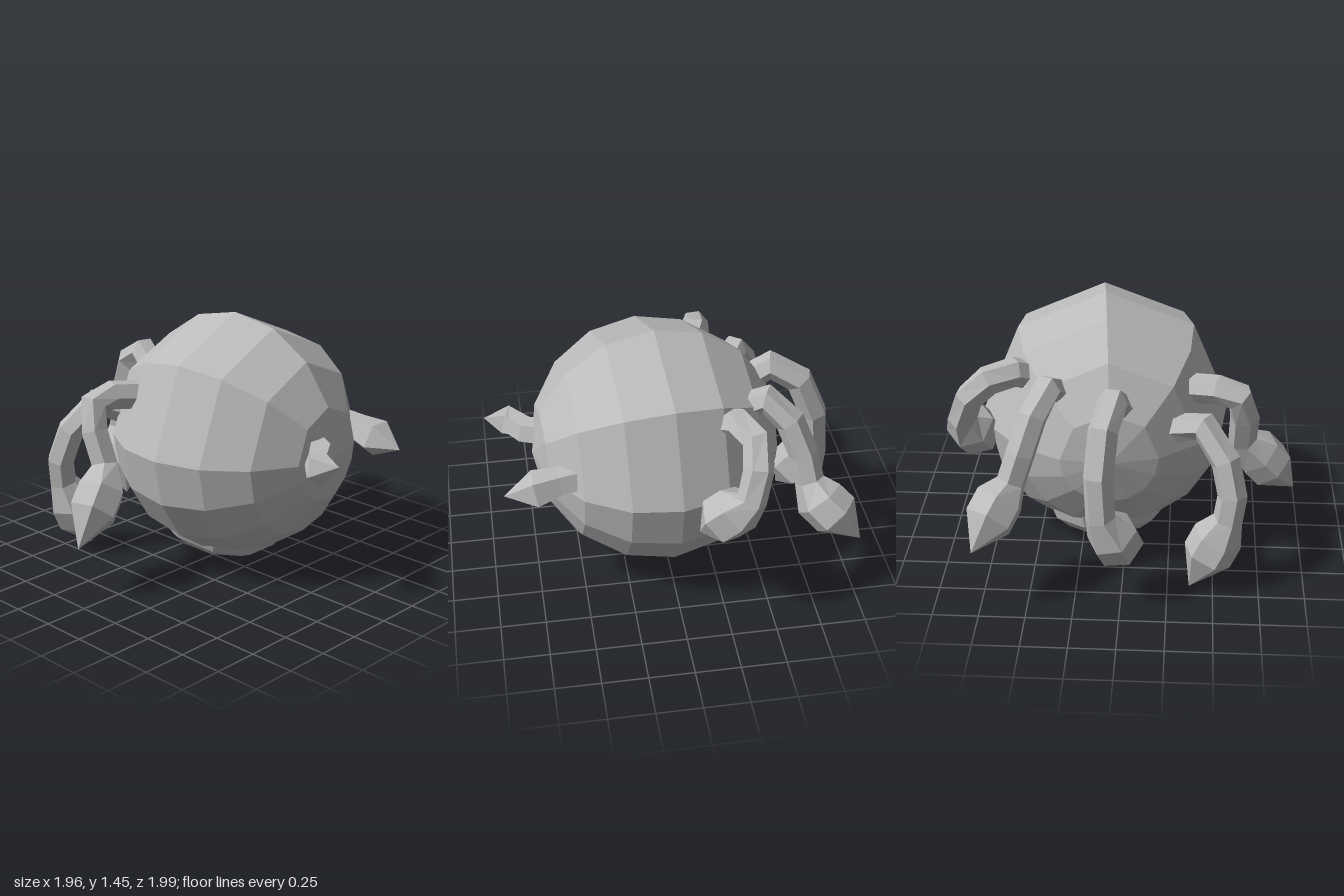
import * as THREE from 'three';

const V = (x, y, z) => new THREE.Vector3(x, y, z);

// Faceted skin through rings of equal point count (counterclockwise about travel)
function loft(rings) {
  const pos = [];
  const tri = (a, b, c) => {
    const area = b.clone().sub(a).cross(c.clone().sub(a)).length();
    if (area > 1e-7) pos.push(...a.toArray(), ...b.toArray(), ...c.toArray());
  };
  for (let r = 0; r < rings.length - 1; r++) {
    const a = rings[r], b = rings[r + 1], n = a.length;
    for (let i = 0; i < n; i++) {
      const j = (i + 1) % n;
      tri(a[i], a[j], b[j]);
      tri(a[i], b[j], b[i]);
    }
  }
  const g = new THREE.BufferGeometry();
  g.setAttribute('position', new THREE.Float32BufferAttribute(pos, 3));
  g.computeVertexNormals();
  return g;
}

// Limb through points [x, y, z, radius], with a carried frame so it does not twist
function limbGeometry(path, sides) {
  const pts = path.map(p => V(p[0], p[1], p[2]));
  let u = null;
  const rings = pts.map((p, k) => {
    const before = pts[Math.max(k - 1, 0)], after = pts[Math.min(k + 1, pts.length - 1)];
    const t = after.clone().sub(before).normalize();
    if (!u) u = Math.abs(t.y) < 0.8 ? V(0, 1, 0) : V(1, 0, 0);
    u = u.clone().addScaledVector(t, -u.dot(t)).normalize();
    const v = t.clone().cross(u);
    return Array.from({ length: sides }, (_, i) => {
      const a = (i + 0.5) / sides * Math.PI * 2;
      return p.clone().addScaledVector(u, Math.cos(a) * path[k][3])
        .addScaledVector(v, Math.sin(a) * path[k][3]);
    });
  });
  const first = pts[0];
  rings.unshift(rings[0].map(() => first.clone()));
  return loft(rings);
}

export function createModel() {
  const model = new THREE.Group();
  model.name = 'creature';
  const skin = new THREE.MeshStandardMaterial({ color: 0xbbbbbb, flatShading: true });
  skin.name = 'grey skin';
  const add = (name, geometry) => {
    const mesh = new THREE.Mesh(geometry, skin);
    mesh.name = name;
    model.add(mesh);
    return mesh;
  };

  // Body: poles front and back, coarse upper half and finer lower half
  const angles = [0, 45, 90, 135];
  for (let a = 180; a < 360; a += 22.5) angles.push(a);
  const R = 0.695;
  const bodyRings = [];
  for (let k = 0; k <= 8; k++) {
    const phi = Math.PI * (1 - k / 8), r = k % 8 ? R * Math.sin(phi) : 0;
    bodyRings.push(angles.map(d => {
      const a = d * Math.PI / 180;
      return V(r * Math.cos(a), r * Math.sin(a), R * Math.cos(phi));
    }));
  }
  const body = add('body', loft(bodyRings));
  body.position.set(0.125, 0.752, 0.05);
  body.rotation.y = 0.085;

  // Shallow bulge under the body
  const belly = add('bellyBulge', new THREE.SphereGeometry(1, 10, 8).toNonIndexed());
  belly.geometry.computeVertexNormals();
  belly.scale.set(0.36, 0.2, 0.42);
  belly.position.set(0.12, 0.225, -0.07);
  belly.rotation.x = 0.2;

  // Tentacles: arm points, then club centre and club tip
  const tentacles = {
    rightSideTentacle: {
      arm: [[-0.34, 1.01, -0.23], [-0.5, 1.03, -0.29], [-0.62, 1.0, -0.31], [-0.655, 0.86, -0.27], [-0.65, 0.68, -0.2]],
      club: [-0.77, 0.53, -0.13], tip: [-0.96, 0.31, -0.08],
    },
    rightBackTentacle: {
      arm: [[-0.28, 0.86, -0.42], [-0.43, 0.92, -0.51], [-0.55, 0.76, -0.6], [-0.59, 0.58, -0.65], [-0.57, 0.44, -0.66]],
      club: [-0.5, 0.27, -0.64], tip: [-0.37, 0.0, -0.66],
    },
    backTentacle: {
      arm: [[0.02, 1.0, -0.48], [0.05, 1.11, -0.62], [0.09, 1.02, -0.78], [0.11, 0.8, -0.87], [0.1, 0.57, -0.89]],
      club: [0.03, 0.41, -0.83], tip: [-0.03, 0.21, -0.71],
    },
    leftBackTentacle: {
      arm: [[0.35, 1.05, -0.4], [0.4, 1.13, -0.52], [0.47, 1.02, -0.64], [0.53, 0.84, -0.71], [0.58, 0.69, -0.74]],
      club: [0.66, 0.57, -0.82], tip: [0.77, 0.4, -1.0],
    },
    leftSideTentacle: {
      arm: [[0.48, 1.06, -0.24], [0.6, 1.13, -0.33], [0.73, 1.11, -0.4], [0.84, 1.0, -0.39], [0.89, 0.85, -0.35]],
      club: [0.85, 0.74, -0.25], tip: [0.78, 0.57, -0.1],
    },
  };
  for (const [name, { arm, club, tip }] of Object.entries(tentacles)) {
    const c = V(...club), dir = V(...tip).sub(c).normalize();
    const near = c.clone().addScaledVector(dir, -0.05), far = c.clone().addScaledVector(dir, 0.08);
    add(name, limbGeometry([
      ...arm.map(p => [...p, 0.082]),
      [...near.toArray(), 0.14], [...far.toArray(), 0.14], [...tip, 0],
    ], 6));
  }

  // Short pointed stalks on the face
  add('rightStalk', limbGeometry([
    [0.09, 0.81, 0.66, 0.08], [0.04, 0.8, 0.76, 0.08], [-0.04, 0.79, 0.81, 0.075],
    [-0.1, 0.78, 0.87, 0.09], [-0.09, 0.82, 0.99, 0],
  ], 5));
  add('leftStalk', limbGeometry([
    [0.52, 0.82, 0.48, 0.08], [0.53, 0.8, 0.62, 0.085], [0.54, 0.77, 0.75, 0.11],
    [0.53, 0.74, 0.92, 0],
  ], 5));

  return model;
}
